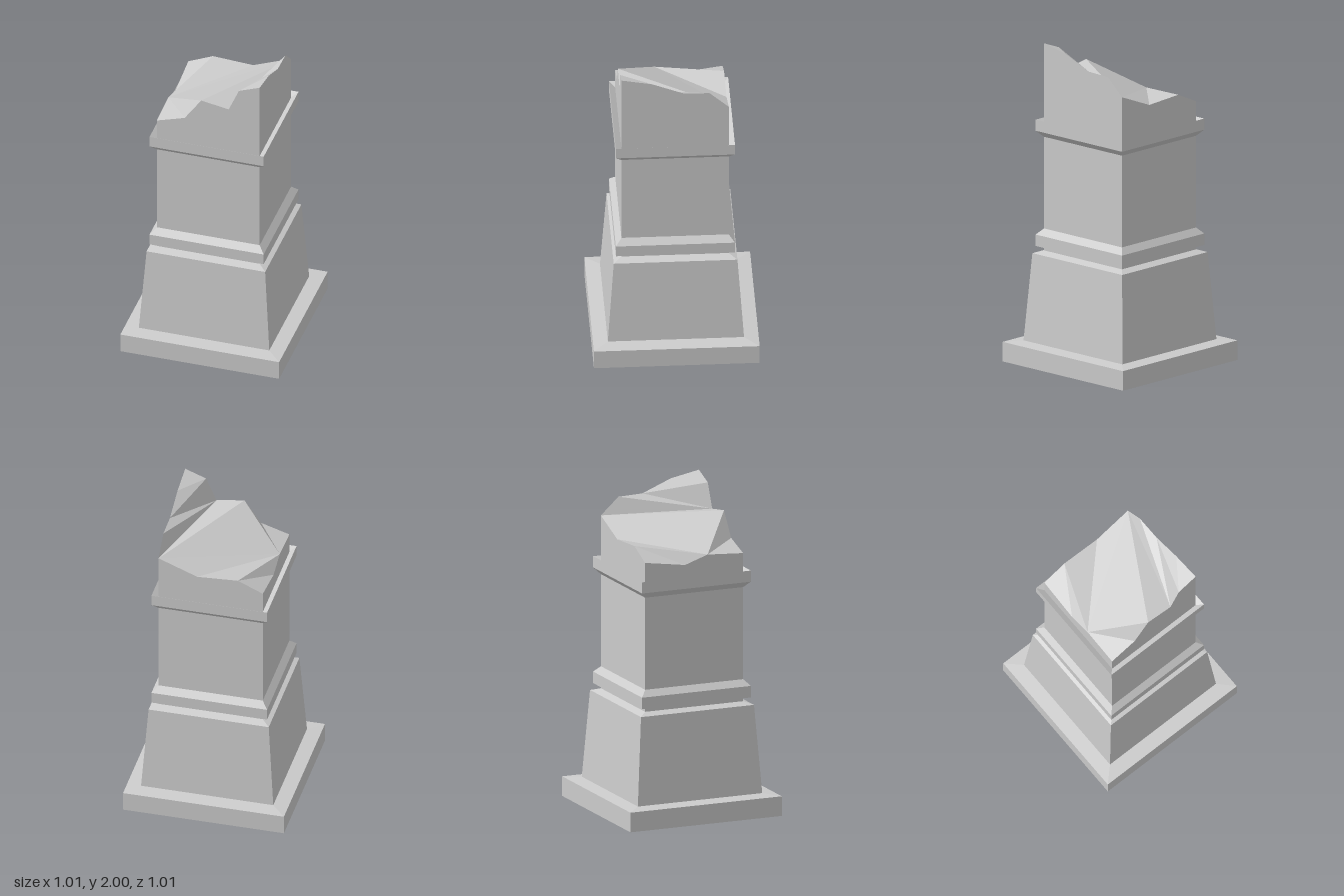
import * as THREE from 'three';

const stone = new THREE.MeshStandardMaterial({ color: 0xcccccc, flatShading: true });
const R = 0.327; // half width of the shaft

// Square part from a profile of [half width, height] pairs, bottom to top
function squarePart(name, profile) {
  const points = profile.map(([w, y]) => new THREE.Vector2(w * Math.SQRT2, y));
  const geometry = new THREE.LatheGeometry(points, 4, Math.PI / 4).toNonIndexed();
  geometry.computeVertexNormals();
  const mesh = new THREE.Mesh(geometry, stone);
  mesh.name = name;
  return mesh;
}

// Jagged broken end of the shaft: walls up to an uneven rim, capped by facets
function brokenTop(base) {
  const rim = [
    [-R, 1.625, R], [-0.15, 1.68, R], [-0.045, 1.83, R], [0.13, 1.8, R], [0.195, 1.95, R], // front
    [R, 2, R], [R, 1.965, 0.14], [R, 1.89, -0.05], [R, 1.885, -0.21], // right
    [R, 1.78, -R], [0.085, 1.685, -R], [-0.17, 1.7, -R], // back
    [-R, 1.63, -R], [-R, 1.59, -0.06], [-R, 1.64, 0.09], // left
  ];
  const facets = [
    [0, 1, 14], [1, 2, 14], [2, 9, 14], [9, 10, 14], [2, 3, 9], [3, 8, 9], [3, 7, 8],
    [3, 4, 7], [4, 6, 7], [4, 5, 6], [10, 11, 14], [11, 13, 14], [11, 12, 13],
  ];
  const positions = [];
  rim.forEach((a, i) => {
    const b = rim[(i + 1) % rim.length];
    const a0 = [a[0], base, a[2]], b0 = [b[0], base, b[2]];
    positions.push(...a0, ...b0, ...b, ...a0, ...b, ...a);
  });
  for (const facet of facets) for (const i of facet) positions.push(...rim[i]);
  const geometry = new THREE.BufferGeometry();
  geometry.setAttribute('position', new THREE.Float32BufferAttribute(positions, 3));
  geometry.computeVertexNormals();
  const mesh = new THREE.Mesh(geometry, stone);
  mesh.name = 'brokenTop';
  return mesh;
}

export function createModel() {
  const group = new THREE.Group();
  group.name = 'brokenPillar';
  group.add(
    squarePart('plinth', [[0, 0], [0.505, 0], [0.505, 0.123], [0.415, 0.132]]),
    squarePart('taperedPedestal', [[0.415, 0.132], [0.377, 0.68], [R, 0.697]]),
    squarePart('shaft', [[R, 0.697], [R, 1.41]]),
    // Bands with one chamfered side and one slightly hollowed side
    squarePart('lowerBand', [[R, 0.75], [0.363, 0.725], [0.363, 0.797], [R, 0.835]]),
    squarePart('upperBand', [[R, 1.412], [0.363, 1.45], [0.363, 1.52], [R, 1.495]]),
    brokenTop(1.41),
  );
  return group;
}
